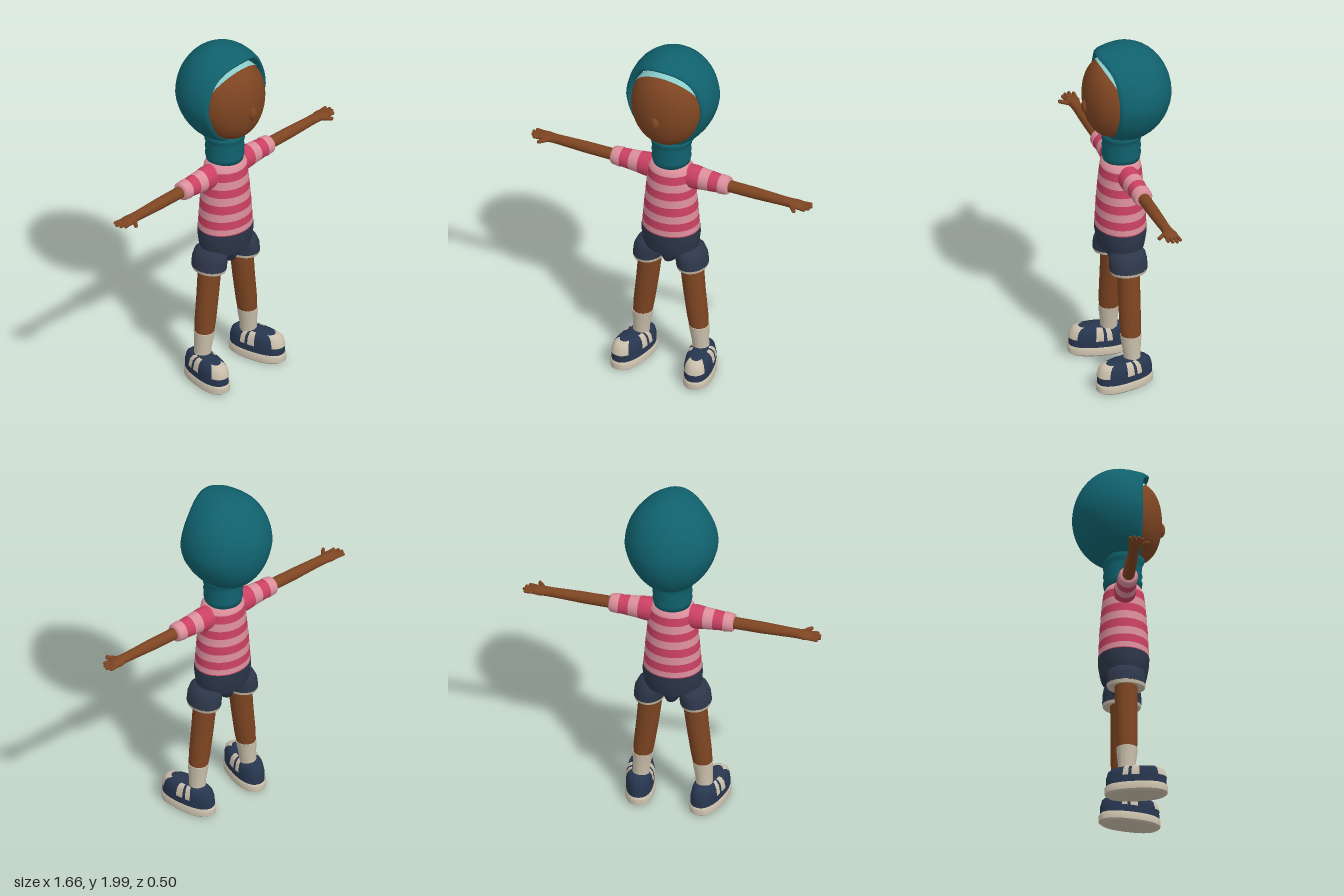
import * as THREE from 'three';
import { toCreasedNormals } from 'three/addons/utils/BufferGeometryUtils.js';

const mat = (name, color, side = THREE.FrontSide) => {
  const m = new THREE.MeshStandardMaterial({ color, side });
  m.name = name;
  return m;
};

// Skin between rings of points; each ring has the same number of points.
function loft(rings, closed = true) {
  const n = rings[0].length, pos = [], idx = [];
  rings.forEach(r => r.forEach(p => pos.push(...p)));
  for (let k = 0; k < rings.length - 1; k++) {
    for (let i = 0; i < (closed ? n : n - 1); i++) {
      const a = k * n + i, b = k * n + (i + 1) % n;
      idx.push(a, a + n, b, b, a + n, b + n);
    }
  }
  const g = new THREE.BufferGeometry();
  g.setAttribute('position', new THREE.Float32BufferAttribute(pos, 3));
  g.setIndex(idx);
  g.computeVertexNormals();
  return g;
}

// Vertical stack of (super)ellipses: rows are [y, rx, rz, cx, cz], bottom to top.
function stack(rows, { n = 32, e = 1, from = 0, to = Math.PI * 2, grow = 1 } = {}) {
  const closed = to - from > 6.28;
  const pw = v => Math.sign(v) * Math.abs(v) ** e;
  return loft(rows.map(([y, rx, rz, cx = 0, cz = 0]) =>
    Array.from({ length: closed ? n : n + 1 }, (_, i) => {
      const a = from + (to - from) * i / n;
      return [cx + grow * rx * pw(Math.cos(a)), y + (grow - 1) * 0.1, cz + grow * rz * pw(Math.sin(a))];
    })), closed);
}

// Part of a stack between two heights.
function slice(rows, y0, y1) {
  const at = y => {
    const k = Math.max(1, rows.findIndex(r => r[0] >= y - 1e-9));
    const a = rows[k - 1], b = rows[k], t = (y - a[0]) / (b[0] - a[0]);
    return a.map((v, i) => v + (b[i] - v) * t);
  };
  return [at(y0), ...rows.filter(r => r[0] > y0 + 1e-6 && r[0] < y1 - 1e-6), at(y1)];
}

export function createModel() {
  const teal = mat('teal cloth', 0x10626e), aqua = mat('aqua cap', 0x8accca);
  const skin = mat('brown skin', 0x7e4522), rose = mat('rose stripe', 0xcb4163);
  const pink = mat('pale pink stripe', 0xdb8f9b), navy = mat('navy shorts', 0x2d374a);
  const shoeBlue = mat('blue shoe', 0x27364f);
  const cream = mat('cream', 0xcabfab, THREE.DoubleSide);

  const model = new THREE.Group();
  const add = (name, geo, m, parent = model) => {
    const mesh = new THREE.Mesh(geo, m);
    mesh.name = name;
    parent.add(mesh);
    return mesh;
  };
  const group = (name, parent = model) => {
    const g = new THREE.Group();
    g.name = name;
    parent.add(g);
    return g;
  };
  const stripes = (name, rows, cuts, first, parent) => cuts.slice(1).forEach((y, i) =>
    add(name, stack(slice(rows, cuts[i], y)), (i + first) % 2 ? pink : rose, parent));

  // Head: one ovoid split along a tilted circle into face and under cap
  const split = 1.475;
  const ovoid = (t0, len, grow) => {
    const g = new THREE.SphereGeometry(1, 48, 24, 0, Math.PI * 2, t0, len).rotateX(-1.107);
    const p = g.attributes.position;
    for (let i = 0; i < p.count; i++) {
      const x = p.getX(i), y = p.getY(i), z = p.getZ(i);
      p.setXYZ(i, x * 0.205 * grow, 1.7 + y * 0.225 * grow, 0.06 + z * 0.17 * grow + 0.03 * y * y);
    }
    g.computeVertexNormals();
    return g;
  };
  add('face', ovoid(split - 0.1, Math.PI - split + 0.1, 1), skin);
  add('underCap', ovoid(0, split, 1.015), aqua);
  const nose = add('nose', new THREE.SphereGeometry(1, 20, 14), skin);
  nose.scale.set(0.026, 0.042, 0.026);
  nose.position.set(0, 1.668, 0.222);

  // Hood: loops from the inner lining out over the rim and round the back
  const hoodLoops = [[0.8, 0, 0], [0.82, 0.085, 0.8], [0.845, 0.105, 1], [0.89, 0.11, 1], [0.94, 0.09, 0.8],
    [0.985, 0.045, 0.3], [1, 0, 0]];
  for (let i = 1; i <= 12; i++) {
    const a = i / 12 * Math.PI / 2;
    hoodLoops.push([Math.cos(a), -0.25 * Math.sin(a), 0]);
  }
  add('hood', loft(hoodLoops.map(([s, z, peak]) => Array.from({ length: 56 }, (_, i) => {
    const a = i / 56 * Math.PI * 2, c = Math.cos(a), v = Math.sin(a), low = Math.max(0, -v);
    return [0.25 * s * c * (1 - 0.13 * low), 1.71 + s * v * (v > 0 ? 0.29 : 0.275),
      z + 0.05 * peak * Math.max(0, v) ** 5];
  }))), teal);

  // Folded scarf round the neck
  add('neckScarf', stack([[1.3, 0.07, 0.07], [1.31, 0.1, 0.1], [1.345, 0.107, 0.106], [1.362, 0.1, 0.098],
    [1.385, 0.108, 0.106], [1.41, 0.102, 0.1], [1.43, 0.11, 0.105], [1.445, 0.105, 0.103],
    [1.475, 0.128, 0.118], [1.5, 0.1, 0.08]].map(r => [...r, 0, 0.02])), teal);

  // Striped shirt
  const shirt = [[0.89, 0.16, 0.137], [1.05, 0.147, 0.13], [1.2, 0.132, 0.118], [1.28, 0.122, 0.108],
    [1.315, 0.1, 0.09], [1.325, 0, 0]].map(r => [...r, 0, 0.025]);
  stripes('shirtStripe', shirt, [0.89, 0.905, 0.937, 0.984, 1.03, 1.08, 1.127, 1.175, 1.222, 1.27, 1.325], 0);

  // Shorts: waist and crotch
  add('shortsWaist', toCreasedNormals(stack([[0.765, 0, 0], [0.775, 0.15, 0.12], [0.8, 0.157, 0.126],
    [0.86, 0.163, 0.136], [0.9, 0.161, 0.138], [0.9, 0.14, 0.12]].map(r => [...r, 0, 0.025])), 0.9), navy);
  add('shortsCrotch', stack([[0.685, 0, 0], [0.69, 0.035, 0.06], [0.74, 0.055, 0.085], [0.8, 0.08, 0.1]]
    .map(r => [...r, 0, 0.025]), { n: 20 }), navy);

  const sleeve = [[0.08, 0.066, 0.058], [0.14, 0.068, 0.06], [0.2, 0.06, 0.056], [0.285, 0.052, 0.05],
    [0.295, 0.055, 0.054], [0.335, 0.05, 0.051], [0.345, 0.043, 0.043], [0.346, 0, 0]];
  const upper = [[0.055, 0.075, 0.163], [0.11, 0.075, 0.162], [0.145, 0.068, 0.152], [0.163, 0.054, 0.132],
    [0.17, 0.03, 0.09], [0.171, 0, 0]];

  for (const s of [1, -1]) {
    const side = s > 0 ? 'left' : 'right';

    // Arm, built along its own y axis and swung out sideways
    const arm = group(side + 'Arm');
    arm.position.set(0, 1.24, 0.02);
    arm.rotation.z = -s * Math.PI / 2;
    stripes('sleeveStripe', sleeve, [0.08, 0.18, 0.235, 0.29, 0.346], 0, arm);
    add('forearm', stack([[0.3, 0.033, 0.033], [0.5, 0.032, 0.032], [0.66, 0.027, 0.027], [0.7, 0.025, 0.029],
      [0.735, 0.021, 0.04], [0.77, 0.017, 0.038], [0.785, 0, 0]], { n: 24 }), skin, arm);
    // Fingers: [z, length, tilt]
    [[-0.031, 0.045, -0.1], [-0.01, 0.056, -0.03], [0.012, 0.05, 0.04], [0.031, 0.034, 0.12]]
      .forEach(([z, len, tilt]) => {
        const f = add('finger', new THREE.CapsuleGeometry(0.0095, len, 4, 10), skin, arm);
        f.position.set(0, 0.763 + len / 2, z);
        f.rotation.x = tilt;
      });
    const thumb = add('thumb', new THREE.CapsuleGeometry(0.011, 0.055, 4, 10), skin, arm);
    thumb.position.set(0, 0.735, 0.045);
    thumb.rotation.x = 0.85;

    // Shorts leg with a pale hem
    add(side + 'ShortsLeg', toCreasedNormals(stack([[0.69, 0.084, 0.105, s * 0.128, 0.027],
      [0.74, 0.084, 0.104, s * 0.122, 0.027], [0.775, 0.077, 0.098, s * 0.112, 0.027],
      [0.795, 0.055, 0.07, s * 0.105, 0.027], [0.8, 0, 0, s * 0.1, 0.027]]), 0.9), navy);
    add(side + 'ShortsHem', toCreasedNormals(stack([[0.69, 0, 0], [0.675, 0.07, 0.09], [0.673, 0.08, 0.1],
      [0.692, 0.084, 0.105]].map(r => [...r, s * 0.128, 0.027])), 0.9), cream);

    // Leg and sock
    add(side + 'Leg', stack([[0.29, 0.052, 0.053, s * 0.166, 0.028], [0.36, 0.057, 0.058, s * 0.158, 0.028],
      [0.52, 0.061, 0.06, s * 0.138, 0.027], [0.72, 0.066, 0.062, s * 0.118, 0.026]]), skin);
    add(side + 'Sock', toCreasedNormals(stack([[0.13, 0.045, 0.046, s * 0.178, 0.024],
      [0.2, 0.046, 0.047, s * 0.174, 0.026], [0.27, 0.053, 0.055, s * 0.168, 0.028],
      [0.3, 0.056, 0.057, s * 0.166, 0.028], [0.301, 0.04, 0.04, s * 0.166, 0.028]]), 0.9), cream);

    // Shoe, toes turned slightly out
    const shoe = group(side + 'Shoe');
    shoe.position.set(s * 0.195, 0, 0.075);
    shoe.rotation.y = s * 0.2;
    const e = 0.85;
    add('sole', toCreasedNormals(stack([[0.01, 0, 0], [0.01, 0.07, 0.155], [0.02, 0.08, 0.169],
      [0.055, 0.081, 0.17], [0.064, 0.075, 0.163], [0.064, 0, 0]], { e }), 0.7), cream, shoe);
    add('shoeUpper', stack(upper, { e }), shoeBlue, shoe);
    add('toeCap', stack(slice(upper, 0.105, 0.167), { e, n: 16, from: 0.8, to: 2.34, grow: 1.02 }), cream, shoe);
    // Pale straps on both flanks
    for (const [a0, a1] of [[-0.07, 0.11], [-0.34, -0.16]]) {
      for (const [from, to] of [[a0, a1], [Math.PI - a1, Math.PI - a0]]) {
        add('shoeStrap', stack(slice(upper, 0.1, 0.167), { e, n: 4, from, to, grow: 1.025 }), cream, shoe);
      }
    }
  }
  return model;
}
